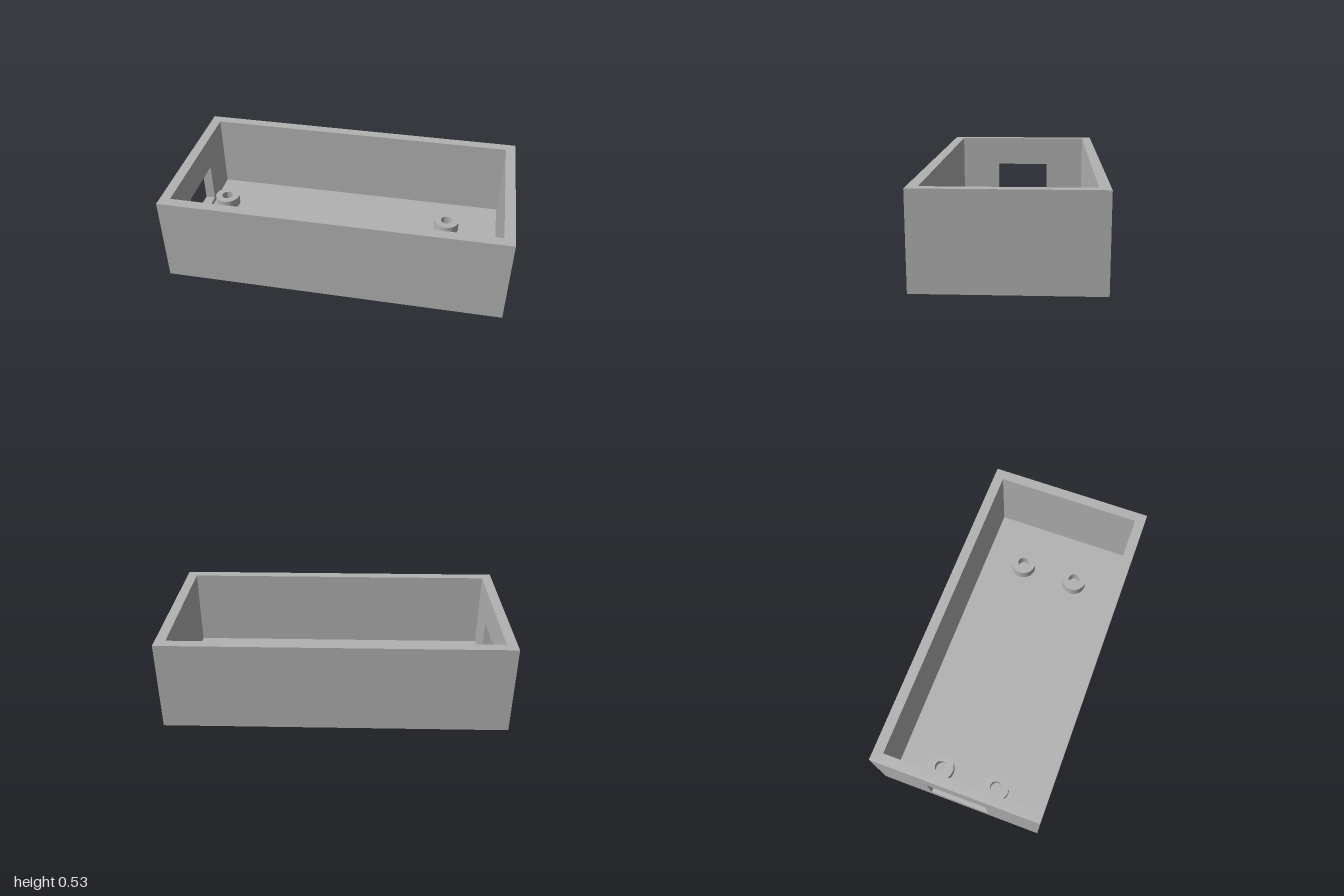
import * as THREE from 'three';
import { mergeGeometries, toCreasedNormals } from 'three/addons/utils/BufferGeometryUtils.js';

const H = 0.533, WALL = 0.06, FLOOR = 0.06;
const IX = 1 - WALL, IZ = 0.5 - WALL;            // inner half sizes
const PORT = { half: 0.18, y0: 0.09, y1: 0.34 }; // opening in the -x wall
const BOSS = { r: 0.078, hole: 0.036, top: 0.124 };

function rect(path, w, y0, y1) {
  path.moveTo(-w / 2, y0);
  path.lineTo(w / 2, y0);
  path.lineTo(w / 2, y1);
  path.lineTo(-w / 2, y1);
  path.closePath();
  return path;
}

// Flat face looking along +z, then tilted, turned and placed
function panel(w, y0, y1, { tilt = 0, turn = 0, at = [0, 0, 0], hole = null }) {
  const shape = rect(new THREE.Shape(), w, y0, y1);
  if (hole) shape.holes.push(rect(new THREE.Path(), ...hole));
  return new THREE.ShapeGeometry(shape).rotateX(tilt).rotateY(turn).translate(...at);
}

export function createModel() {
  const group = new THREE.Group();
  const grey = new THREE.MeshStandardMaterial({ color: 0xb2b2b2 });
  grey.name = 'grey plastic';
  const add = (name, geometry) => {
    const mesh = new THREE.Mesh(geometry, grey);
    mesh.name = name;
    group.add(mesh);
    return mesh;
  };

  const Q = Math.PI / 2;
  const port = [PORT.half * 2, PORT.y0, PORT.y1];

  // Outer walls, port in the -x end
  add('outerWalls', mergeGeometries([
    panel(2, 0, H, { at: [0, 0, 0.5] }),
    panel(2, 0, H, { turn: Math.PI, at: [0, 0, -0.5] }),
    panel(1, 0, H, { turn: Q, at: [1, 0, 0] }),
    panel(1, 0, H, { turn: -Q, at: [-1, 0, 0], hole: port }),
  ]));

  // Inner walls, facing the cavity
  add('innerWalls', mergeGeometries([
    panel(IX * 2, FLOOR, H, { turn: Math.PI, at: [0, 0, IZ] }),
    panel(IX * 2, FLOOR, H, { at: [0, 0, -IZ] }),
    panel(IZ * 2, FLOOR, H, { turn: -Q, at: [IX, 0, 0] }),
    panel(IZ * 2, FLOOR, H, { turn: Q, at: [-IX, 0, 0], hole: port }),
  ]));

  // Horizontal faces
  add('rim', panel(2, -0.5, 0.5, { tilt: -Q, at: [0, H, 0], hole: [IX * 2, -IZ, IZ] }));
  add('floor', panel(IX * 2, -IZ, IZ, { tilt: -Q, at: [0, FLOOR, 0] }));
  add('underside', panel(2, -0.5, 0.5, { tilt: Q }));

  // Reveal of the port through the wall
  const px = -1 + WALL / 2;
  add('portReveal', mergeGeometries([
    panel(WALL, -PORT.half, PORT.half, { tilt: -Q, at: [px, PORT.y0, 0] }),
    panel(WALL, -PORT.half, PORT.half, { tilt: Q, at: [px, PORT.y1, 0] }),
    panel(WALL, PORT.y0, PORT.y1, { at: [px, 0, -PORT.half] }),
    panel(WALL, PORT.y0, PORT.y1, { turn: Math.PI, at: [px, 0, PORT.half] }),
  ]));

  // Four hollow screw bosses
  const profile = [[BOSS.r, FLOOR], [BOSS.r, BOSS.top], [BOSS.hole, BOSS.top], [BOSS.hole, FLOOR]]
    .map(([x, y]) => new THREE.Vector2(x, y));
  const bossGeometry = toCreasedNormals(new THREE.LatheGeometry(profile, 48), 0.6);
  for (const x of [-0.845, 0.623]) {
    for (const z of [-0.18, 0.178]) add('screwBoss', bossGeometry).position.set(x, 0, z);
  }

  return group;
}
